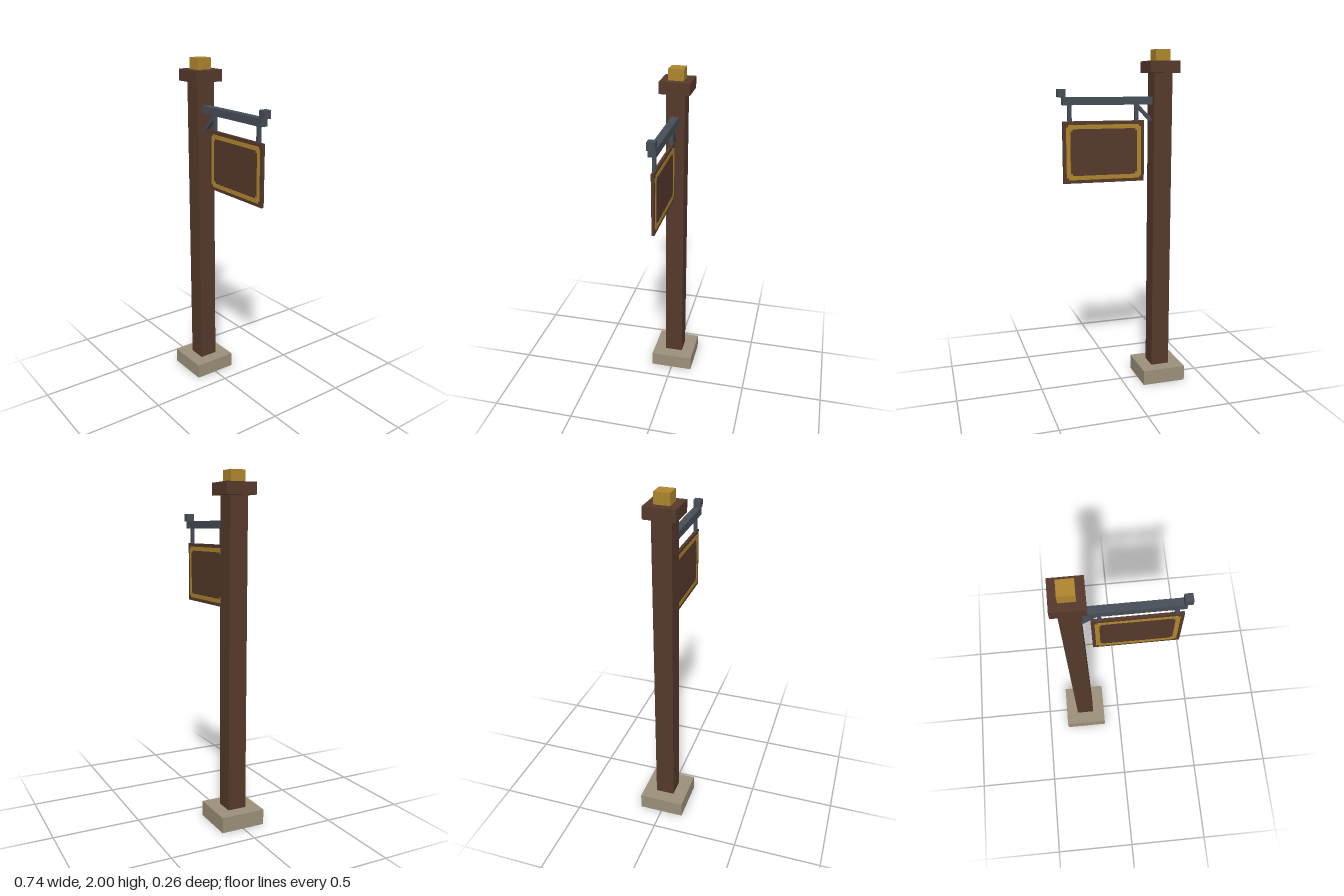
import * as THREE from 'three';

const mat = (name, color, side = THREE.FrontSide) => {
  const m = new THREE.MeshStandardMaterial({ color, side });
  m.name = name;
  return m;
};

export function createModel() {
  const wood = mat('dark wood', 0x56392c);
  const gold = mat('gold paint', 0xae862e);
  const iron = mat('dark iron', 0x474e58);
  const stone = mat('stone', 0x9c907a, THREE.DoubleSide);

  const model = new THREE.Group();
  model.name = 'hangingSignPost';

  // Box given by its x and y limits and its depth, centred on z = 0
  const box = (name, material, x0, x1, y0, y1, depth) => {
    const mesh = new THREE.Mesh(new THREE.BoxGeometry(x1 - x0, y1 - y0, depth), material);
    mesh.position.set((x0 + x1) / 2, (y0 + y1) / 2, 0);
    mesh.name = name;
    model.add(mesh);
    return mesh;
  };

  // Post, with a footing that is open underneath
  const px = -0.239;
  const square = (name, material, half, y0, y1) =>
    box(name, material, px - half, px + half, y0, y1, half * 2);
  const footing = square('footing', stone, 0.132, 0, 0.09).geometry;
  const index = Array.from(footing.index.array);
  index.splice(18, 6); // drop the bottom face
  footing.setIndex(index);
  footing.clearGroups();
  square('post', wood, 0.055, 0.09, 1.868);
  square('postCap', wood, 0.089, 1.868, 1.935);
  square('finial', gold, 0.044, 1.935, 2);

  // Iron arm with its end block, hangers and diagonal brace
  box('arm', iron, px + 0.055, 0.345, 1.69, 1.734, 0.044);
  box('armEndBlock', iron, 0.328, 0.371, 1.734, 1.778, 0.044);
  for (const x of [-0.095, 0.302]) box('hanger', iron, x - 0.011, x + 0.011, 1.6, 1.69, 0.018);
  const brace = box('brace', iron, -0.204, -0.066, 1.637, 1.657, 0.018);
  brace.rotation.z = Math.PI / 4;

  // Sign board
  const cx = 0.102, cy = 1.423;
  box('signBoard', wood, -0.14, 0.344, 1.247, 1.6, 0.016);

  // Rectangle with a small square step at each corner
  const notched = (path, w, h, n) => {
    const corners = [[1, 1], [-1, 1], [-1, -1], [1, -1]];
    const pts = corners.flatMap(([sx, sy], i) => {
      const step = [[w, h - n], [w - n, h - n], [w - n, h]];
      if (i % 2) step.reverse();
      return step.map(([x, y]) => new THREE.Vector2(sx * x, sy * y));
    });
    return path.setFromPoints(pts);
  };
  const border = notched(new THREE.Shape(), 0.223, 0.157, 0.012);
  border.holes.push(notched(new THREE.Path(), 0.199, 0.133, 0.012));

  // Gold border on both faces of the board
  const borderGeometry = new THREE.ExtrudeGeometry(border, { depth: 0.002, bevelEnabled: false });
  for (const side of [1, -1]) {
    const mesh = new THREE.Mesh(borderGeometry, gold);
    mesh.name = side > 0 ? 'frontBorder' : 'backBorder';
    mesh.position.set(cx, cy, side * 0.008);
    if (side < 0) mesh.rotation.y = Math.PI;
    model.add(mesh);
  }

  return model;
}
